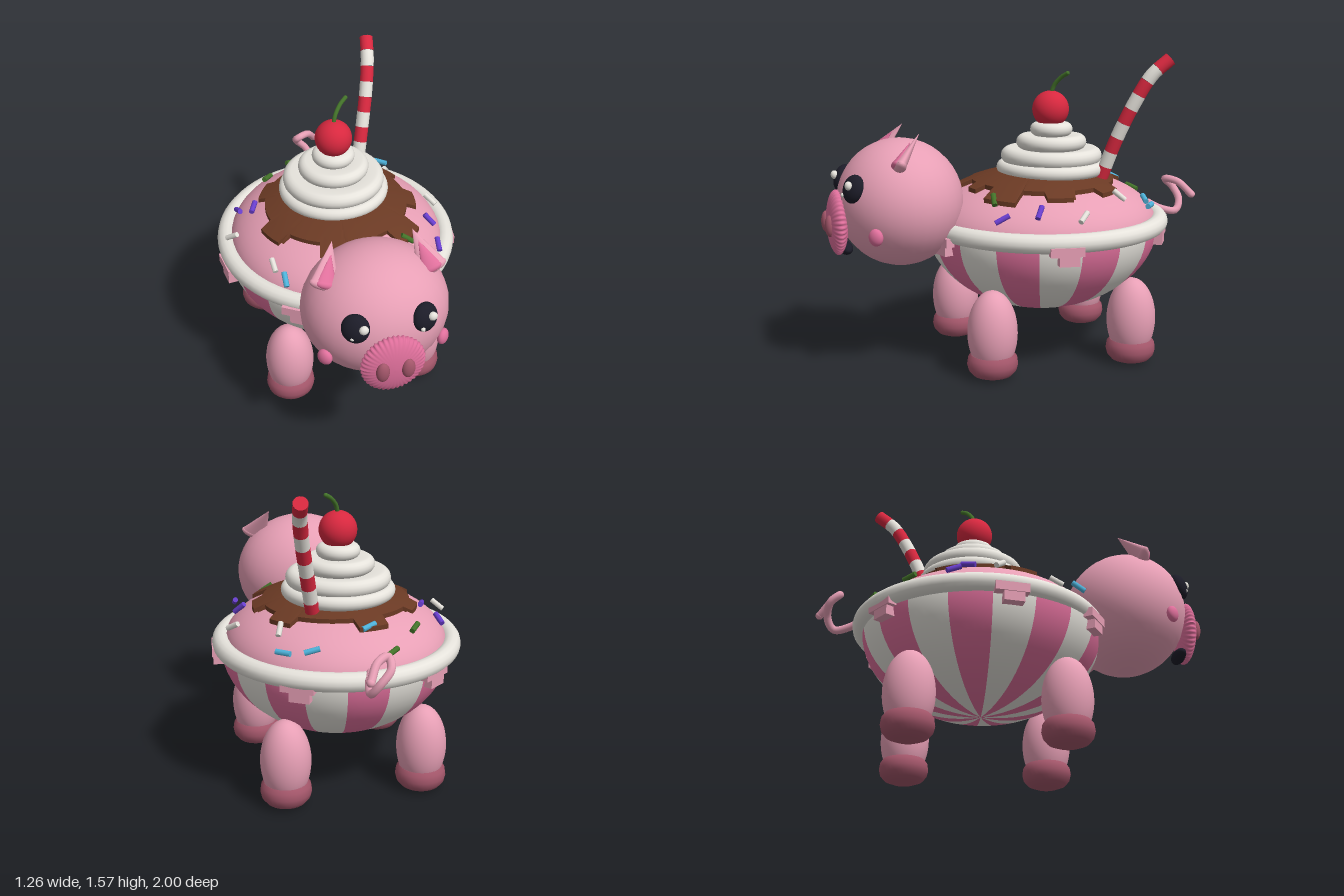
import * as THREE from 'three';
import { toCreasedNormals } from 'three/addons/utils/BufferGeometryUtils.js';

const rad = THREE.MathUtils.degToRad;
const V = (x, y, z) => new THREE.Vector3(x, y, z);
const BZ = -0.145; // z centre of the bowl

function material(name, color, side = THREE.FrontSide) {
  const m = new THREE.MeshStandardMaterial({ color, side });
  m.name = name;
  return m;
}

export function createModel() {
  const group = new THREE.Group();
  const pink = material('skin pink', 0xe8a0b6);
  const rose = material('rose pink', 0xe0709c);
  const ivory = material('cream white', 0xe6e3dc);
  const brown = material('chocolate', 0x6b3a24, THREE.DoubleSide);
  const red = material('cherry red', 0xd8283f);
  const green = material('stem green', 0x44742a);
  const dark = material('eye black', 0x1c1c28);
  const mauve = material('hoof mauve', 0xa3566a);
  const purple = material('sprinkle purple', 0x6a3fd0);
  const blue = material('sprinkle blue', 0x4fb4dc);

  const add = (name, geo, mat, x = 0, y = 0, z = 0, parent = group) => {
    const m = new THREE.Mesh(geo, mat);
    m.name = name;
    m.position.set(x, y, z);
    parent.add(m);
    return m;
  };
  const ball = (name, mat, p, s, parent = group) => {
    const m = add(name, new THREE.SphereGeometry(1, 32, 22), mat, ...p, parent);
    m.scale.set(...s);
    return m;
  };
  const tube = (name, mat, pts, r) => {
    const curve = new THREE.CatmullRomCurve3(pts.map((p) => V(...p)));
    add(name, new THREE.TubeGeometry(curve, 40, r, 10), mat);
    for (const p of [pts[0], pts[pts.length - 1]]) ball(name + 'End', mat, p, [r, r, r]);
  };

  // Striped bowl: eighteen wedges of a half ellipsoid
  for (let i = 0; i < 18; i++) {
    const g = new THREE.SphereGeometry(1, 5, 16, rad(80 + 20 * i), rad(20), Math.PI / 2, Math.PI / 2);
    add('bowlStripe', g, i % 2 ? rose : ivory, 0, 0.7, BZ).scale.set(0.585, 0.445, 0.61);
  }
  const rim = add('bowlRim', new THREE.TorusGeometry(0.58, 0.047, 14, 72).rotateX(Math.PI / 2), ivory, 0, 0.713, BZ - 0.015);
  rim.scale.z = 1.03;

  // Drips hanging below the rim
  for (const a of [82, -82, 18, -32, 148, -145]) {
    const drip = new THREE.Group();
    drip.name = 'rimDrip';
    drip.position.set(0.592 * Math.sin(rad(a)), 0, BZ + 0.61 * Math.cos(rad(a)));
    drip.rotation.y = rad(a);
    add('dripTop', new THREE.BoxGeometry(0.165, 0.045, 0.07), pink, 0, 0.68, 0, drip);
    add('dripTab', new THREE.BoxGeometry(0.1, 0.07, 0.06), pink, 0.01, 0.645, 0, drip);
    group.add(drip);
  }

  // Domed back
  const domeY = (x, z) => 0.7 + 0.27 * Math.sqrt(Math.max(0, 1 - (x / 0.56) ** 2 - ((z - BZ) / 0.6) ** 2));
  add('domedBack', new THREE.SphereGeometry(1, 48, 16, 0, Math.PI * 2, 0, Math.PI / 2), pink, 0, 0.7, BZ).scale.set(0.56, 0.27, 0.6);

  // Chocolate sauce with square drips: [angle, half width, reach]
  const teeth = [[-15, 9, 0.45], [43, 12, 0.46], [83, 11, 0.42], [125, 10, 0.42], [-170, 11, 0.435], [-120, 10, 0.41], [-65, 11, 0.43], [14, 6, 0.42]];
  const reach = (a) => {
    for (const [c, w, r] of teeth) if (Math.abs(((a - c + 540) % 360) - 180) < w) return r;
    return 0.37;
  };
  const sauce = new THREE.RingGeometry(0.001, 1, 180, 8).rotateX(-Math.PI / 2);
  const sp = sauce.attributes.position;
  for (let i = 0; i < sp.count; i++) {
    const a = Math.atan2(sp.getX(i), sp.getZ(i)), rho = Math.hypot(sp.getX(i), sp.getZ(i));
    const r = reach(THREE.MathUtils.radToDeg(a)) * Math.min(1, rho * 8 / 7);
    const x = r * Math.sin(a), z = BZ + r * Math.cos(a);
    sp.setXYZ(i, x, domeY(x, z) + (rho > 0.95 ? -0.01 : 0.022), z);
  }
  add('chocolateSauce', toCreasedNormals(sauce, 0.6), brown);

  // Whipped cream: stacked rounded layers [radius, centre height, half height]
  const profile = [new THREE.Vector2(0.2, 0.93)];
  for (const [r, y, h] of [[0.285, 0.985, 0.035], [0.262, 1.047, 0.042], [0.182, 1.117, 0.038], [0.11, 1.182, 0.035]])
    for (let k = 0; k <= 8; k++) {
      const t = -Math.PI / 2 + (Math.PI * k) / 8;
      profile.push(new THREE.Vector2(r - h + h * Math.cos(t), y + h * Math.sin(t)));
    }
  profile.push(new THREE.Vector2(0, 1.22));
  add('whippedCream', toCreasedNormals(new THREE.LatheGeometry(profile, 48), 0.9), ivory, 0, 0, -0.195);
  ball('cherry', red, [0, 1.285, -0.19], [0.095, 0.095, 0.095]);
  tube('cherryStem', green, [[0, 1.36, -0.19], [0.015, 1.41, -0.205], [0.045, 1.45, -0.23], [0.078, 1.473, -0.252]], 0.011);

  // Striped bent straw
  const path = new THREE.CatmullRomCurve3([V(0.18, 0.93, -0.395), V(0.225, 1.15, -0.465), V(0.265, 1.33, -0.54), V(0.293, 1.47, -0.62), V(0.31, 1.55, -0.71)]);
  for (let i = 0; i < 9; i++) {
    const pts = [0, 1, 2, 3, 4].map((k) => path.getPointAt((i + k / 4) / 9));
    add('strawBand', new THREE.TubeGeometry(new THREE.CatmullRomCurve3(pts), 6, 0.035, 16), i % 2 ? ivory : red);
  }
  const tip = add('strawTip', new THREE.CircleGeometry(0.035, 16), red);
  tip.position.copy(path.getPointAt(1));
  tip.quaternion.setFromUnitVectors(V(0, 0, 1), path.getTangentAt(1));

  // Sprinkles: [x, z, heading in the ground plane, colour]
  const sprinkles = [
    [-0.12, -0.71, 30, green], [-0.29, -0.53, 50, green], [-0.49, -0.325, 100, purple], [-0.42, -0.25, 65, purple],
    [-0.56, -0.11, 140, ivory], [-0.4, 0.185, 95, ivory], [-0.365, 0.3, 90, blue], [0.45, 0.215, 85, purple],
    [0.46, 0.03, 140, purple], [0.53, -0.17, 130, ivory], [0.35, -0.43, 65, ivory], [0.37, -0.59, 140, blue],
    [0.24, -0.62, 170, blue], [-0.05, -0.565, 20, blue], [0.285, 0.205, 170, green]];
  for (const [x, z, a, mat] of sprinkles) {
    const d = V(Math.cos(rad(a)), 0, -Math.sin(rad(a)));
    d.y = -0.9 * d.dot(V(x, 0, z - BZ).normalize());
    const s = add('sprinkle', new THREE.CylinderGeometry(0.014, 0.014, 0.075, 8), mat, x, Math.max(0.825, domeY(x, z) + 0.015), z);
    s.quaternion.setFromUnitVectors(V(0, 1, 0), d.normalize());
  }

  // Head
  ball('head', pink, [0, 0.852, 0.61], [0.355, 0.318, 0.315]);

  // Fluted snout
  const snout = new THREE.SphereGeometry(1, 160, 20).rotateX(Math.PI / 2);
  const np = snout.attributes.position;
  for (let i = 0; i < np.count; i++) {
    const x = np.getX(i), y = np.getY(i), r = Math.hypot(x, y);
    const f = 1 + 0.035 * r ** 3 * Math.cos(40 * Math.atan2(y, x));
    np.setXYZ(i, x * f * 0.15, y * f * 0.158, np.getZ(i) * 0.05);
  }
  snout.computeVertexNormals();
  add('snout', snout, rose, 0, 0.765, 0.928);
  ball('mouth', dark, [0, 0.635, 0.89], [0.085, 0.032, 0.035]);

  for (const s of [-1, 1]) {
    ball('nostril', mauve, [s * 0.06, 0.762, 0.973], [0.032, 0.054, 0.024]);
    ball('cheek', rose, [s * 0.285, 0.742, 0.79], [0.038, 0.042, 0.025]).rotation.y = s * 0.8;

    // Eye with two highlights
    const eye = ball('eye', dark, [s * 0.162, 0.958, 0.868], [0.066, 0.07, 0.042]);
    eye.rotation.set(-0.3, s * 0.42, 0);
    ball('eyeHighlight', ivory, [s * 0.162 + 0.027, 0.98, s > 0 ? 0.897 : 0.913], [0.022, 0.022, 0.018]);
    ball('eyeGlint', ivory, [s * 0.162 - 0.022, 0.928, s > 0 ? 0.916 : 0.898], [0.011, 0.011, 0.011]);

    // Ear: flattened cone leaning back, with a rose inside
    const X = V(0.924, s * 0.38, 0), Y = V(-s * 0.055, 0.13, -0.1).normalize();
    const ear = new THREE.Group();
    ear.name = 'ear';
    ear.quaternion.setFromRotationMatrix(new THREE.Matrix4().makeBasis(X, Y, X.clone().cross(Y).normalize()));
    ear.position.set(s * 0.245, 1.085, 0.65);
    add('earOuter', new THREE.ConeGeometry(0.075, 0.2, 24).translate(0, 0.075, 0), pink, 0, 0, 0, ear).scale.z = 0.42;
    ball('earBase', pink, [0, -0.022, 0], [0.075, 0.03, 0.032], ear);
    add('earInner', new THREE.ConeGeometry(0.052, 0.14, 24).translate(0, 0.045, 0), rose, 0, 0, 0.016, ear).scale.z = 0.45;
    ball('earInnerBase', rose, [0, -0.024, 0.016], [0.052, 0.022, 0.024], ear);
    group.add(ear);

    // Legs and hooves
    for (const z of [0.235, -0.51]) {
      ball('leg', pink, [s * 0.347, 0.235, z], [0.125, 0.212, 0.125]);
      const hoof = [[0, 0.004], [0.06, 0.006], [0.1, 0.022], [0.12, 0.046], [0.127, 0.075], [0.122, 0.108], [0.108, 0.126], [0, 0.126]];
      add('hoof', toCreasedNormals(new THREE.LatheGeometry(hoof.map((p) => new THREE.Vector2(...p)), 32), 0.8), mauve, s * 0.347, 0, z);
    }
  }

  // Curly tail
  tube('tail', pink, [[0, 0.755, -0.76], [0.025, 0.725, -0.82], [0.04, 0.712, -0.9], [0.01, 0.765, -0.935], [-0.045, 0.83, -0.92],
    [-0.045, 0.872, -0.875], [0.02, 0.865, -0.92], [0.068, 0.8, -0.98]], 0.02);

  return group;
}
